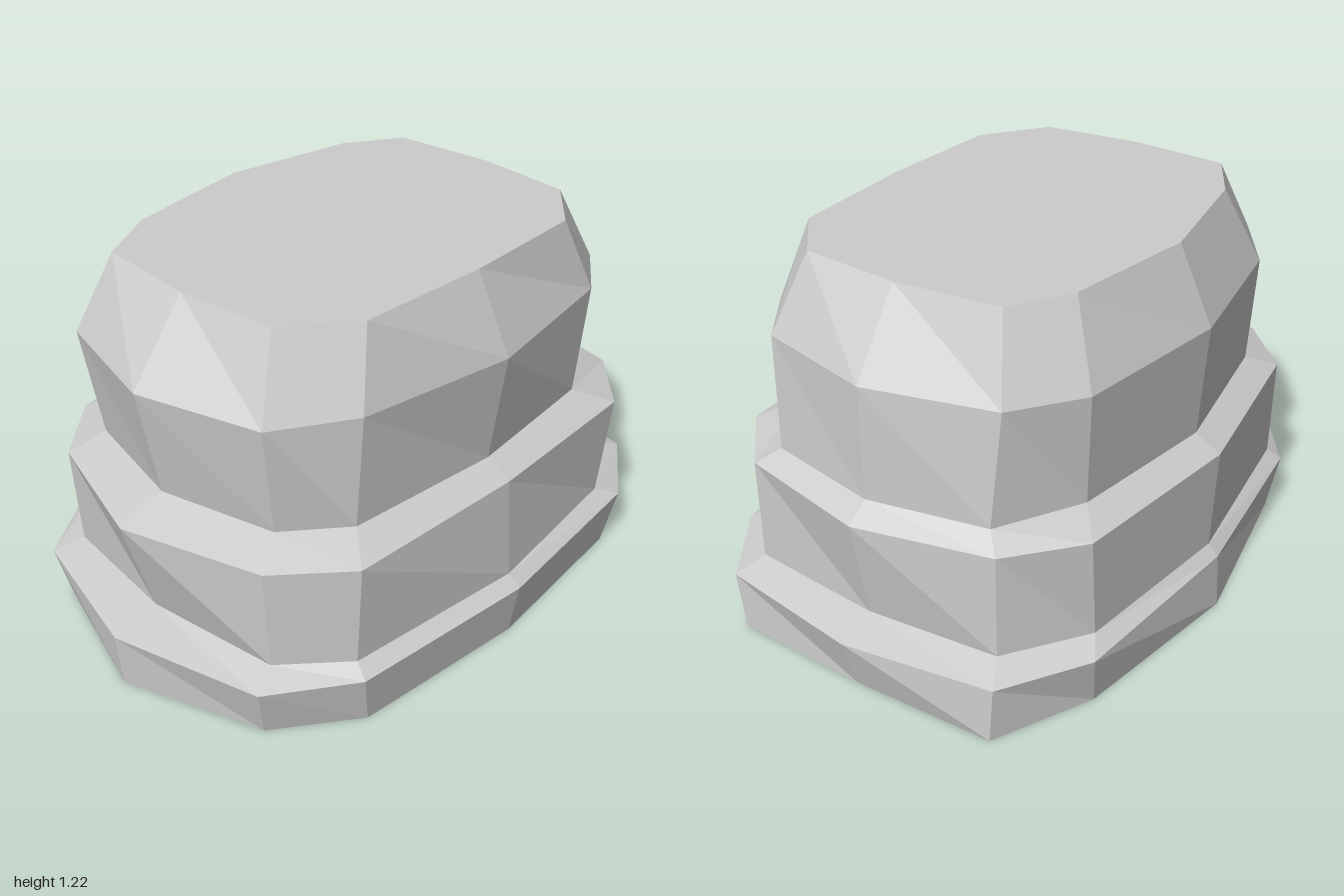
import * as THREE from 'three';

// Each ring is a twelve-sided outline with rounded corners.
// x: left, left side, left corner, right corner, right side, right
// z: back, back corner, back side, front side, front corner, front
const rings = [
  { y: 0, x: [-0.985, -0.83, -0.58, 0.62, 0.93, 0.945], z: [-0.735, -0.63, -0.47, 0.46, 0.645, 0.705] },
  { y: 0.185, x: [-1, -0.875, -0.62, 0.665, 0.925, 1], z: [-0.725, -0.655, -0.48, 0.49, 0.67, 0.735] },
  { y: 0.22, x: [-0.84, -0.785, -0.6, 0.59, 0.83, 0.87], z: [-0.69, -0.61, -0.43, 0.45, 0.62, 0.69] },
  { y: 0.56, x: [-0.94, -0.805, -0.6, 0.625, 0.83, 0.93], z: [-0.705, -0.615, -0.43, 0.45, 0.635, 0.665] },
  { y: 0.61, x: [-0.78, -0.69, -0.51, 0.525, 0.78, 0.855], z: [-0.62, -0.535, -0.38, 0.38, 0.53, 0.58] },
  { y: 0.975, x: [-0.85, -0.74, -0.5, 0.555, 0.755, 0.855], z: [-0.645, -0.56, -0.405, 0.4, 0.545, 0.63] },
  { y: 1.22, x: [-0.66, -0.63, -0.425, 0.465, 0.65, 0.68], z: [-0.53, -0.455, -0.34, 0.33, 0.485, 0.505] },
];
const SIDES = 12;
const MID_X = 0.02;

function outline({ y, x, z }) {
  return [
    [x[0], 0], [x[1], z[2]], [x[2], z[1]], [MID_X, z[0]], [x[3], z[1]], [x[4], z[2]],
    [x[5], 0], [x[4], z[3]], [x[3], z[4]], [MID_X, z[5]], [x[2], z[4]], [x[1], z[3]],
  ].flatMap(([px, pz]) => [px, y, pz]);
}

// Joins consecutive rings with faceted walls, closing either end on request
function loft(section, capBottom, capTop) {
  const index = [];
  for (let r = 0; r < section.length - 1; r++) {
    for (let j = 0; j < SIDES; j++) {
      const next = (j + 1) % SIDES;
      const a = r * SIDES + j, b = r * SIDES + next;
      const c = b + SIDES, d = a + SIDES;
      index.push(b, a, c, a, d, c);
    }
  }
  const top = (section.length - 1) * SIDES;
  for (let j = 1; j < SIDES - 1; j++) {
    if (capBottom) index.push(0, j, j + 1);
    if (capTop) index.push(top, top + j + 1, top + j);
  }
  const geometry = new THREE.BufferGeometry();
  geometry.setAttribute('position', new THREE.Float32BufferAttribute(section.flatMap(outline), 3));
  geometry.setIndex(index);
  const faceted = geometry.toNonIndexed();
  faceted.computeVertexNormals();
  return faceted;
}

export function createModel() {
  const group = new THREE.Group();
  group.name = 'tieredBlock';
  const grey = new THREE.MeshStandardMaterial({ color: 0xcccccc, flatShading: true });
  grey.name = 'light grey';

  const addTier = (name, first, last) => {
    const mesh = new THREE.Mesh(
      loft(rings.slice(first, last + 1), first === 0, last === rings.length - 1), grey);
    mesh.name = name;
    group.add(mesh);
  };
  addTier('baseTier', 0, 2);   // low foot and its sloping ledge
  addTier('middleTier', 2, 4); // flared band and its ledge
  addTier('upperTier', 4, 6);  // body with bevelled flat top
  return group;
}
